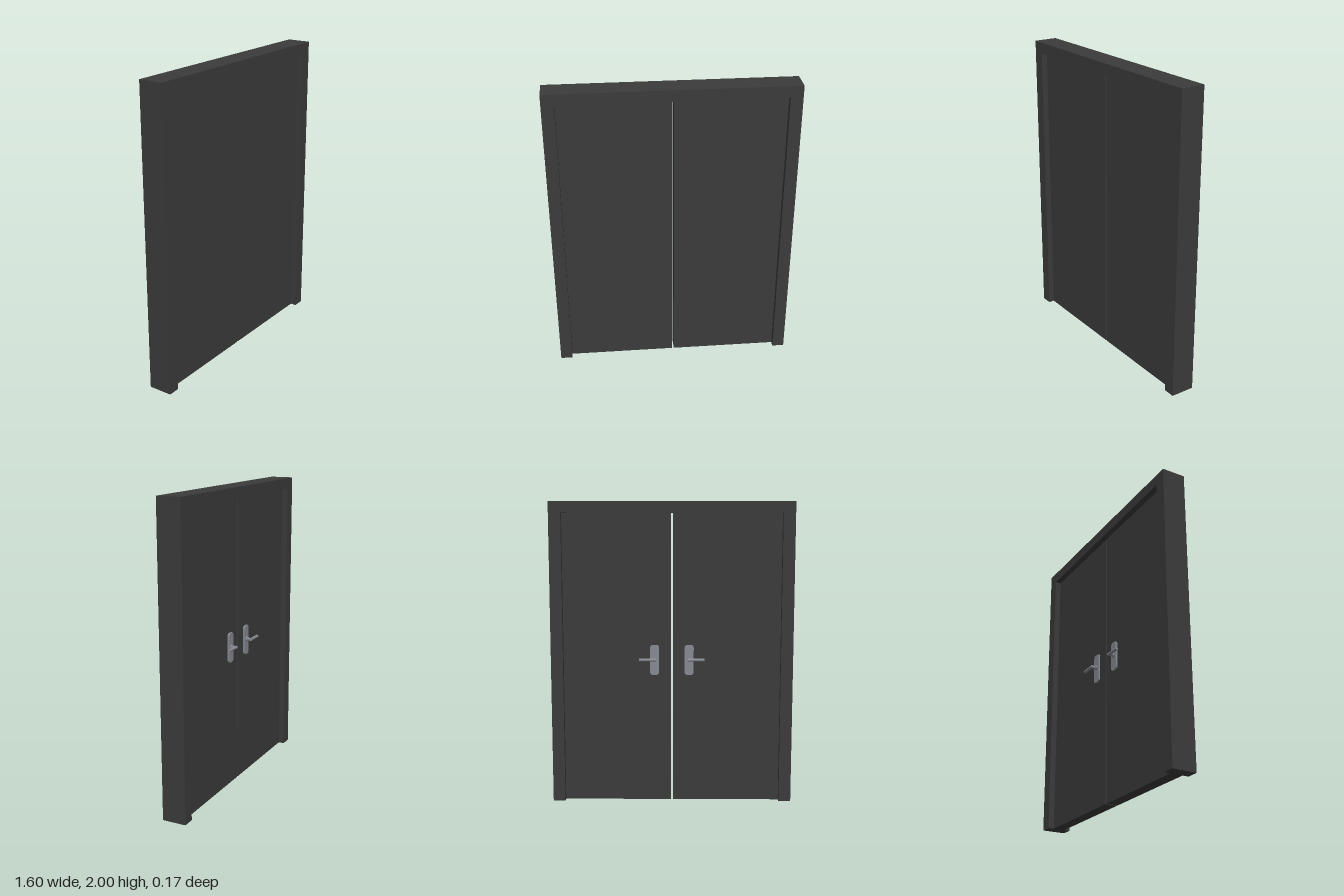
import * as THREE from 'three';

const darkMetal = new THREE.MeshStandardMaterial({ color: 0x3b3b3b });
darkMetal.name = 'dark grey metal';
const steel = new THREE.MeshStandardMaterial({ color: 0x868991 });
steel.name = 'brushed steel';

const FRAME_Z = 0.0075;                    // middle of the frame depth
const FRAME_DEPTH = 0.16, LEAF_DEPTH = 0.08;
const LEAF_BACK = FRAME_Z - LEAF_DEPTH / 2;

function add(parent, name, geometry, material, x = 0, y = 0, z = 0) {
  const mesh = new THREE.Mesh(geometry, material);
  mesh.name = name;
  mesh.position.set(x, y, z);
  parent.add(mesh);
  return mesh;
}

// Rectangle with rounded corners, centred on the origin
function roundedRect(w, h, r) {
  const s = new THREE.Shape();
  const x = w / 2 - r, y = h / 2 - r;
  s.absarc(x, y, r, 0, Math.PI / 2);
  s.absarc(-x, y, r, Math.PI / 2, Math.PI);
  s.absarc(-x, -y, r, Math.PI, Math.PI * 1.5);
  s.absarc(x, -y, r, Math.PI * 1.5, Math.PI * 2);
  s.closePath();
  return s;
}

// Door frame: two jambs and a head in one U-shaped profile
function frameGeometry() {
  const s = new THREE.Shape();
  [[-0.8, 0], [-0.72, 0], [-0.72, 1.925], [0.72, 1.925], [0.72, 0], [0.8, 0], [0.8, 2], [-0.8, 2]]
    .forEach(([x, y], i) => (i ? s.lineTo(x, y) : s.moveTo(x, y)));
  s.closePath();
  return new THREE.ExtrudeGeometry(s, { depth: FRAME_DEPTH, bevelEnabled: false });
}

// Back plate, hub, spindle and lever on the rear face of a leaf
function createHandle(side) {
  const handle = new THREE.Group();
  handle.name = side > 0 ? 'leftHandle' : 'rightHandle';
  handle.position.set(side * 0.115, 0.96, LEAF_BACK);

  const plate = new THREE.ExtrudeGeometry(roundedRect(0.06, 0.2, 0.018),
    { depth: 0.012, bevelEnabled: false, curveSegments: 6 });
  add(handle, 'backPlate', plate, steel, 0, 0, -0.012);

  const hub = add(handle, 'hub', new THREE.CylinderGeometry(0.017, 0.017, 0.012, 20), steel, 0, 0.005, -0.017);
  hub.rotation.x = Math.PI / 2;
  const spindle = add(handle, 'spindle', new THREE.CylinderGeometry(0.01, 0.01, 0.035, 16), steel, 0, 0.005, -0.0345);
  spindle.rotation.x = Math.PI / 2;
  const lever = add(handle, 'lever', new THREE.CylinderGeometry(0.01, 0.01, 0.11, 16), steel, side * 0.045, 0.005, -0.045);
  lever.rotation.z = Math.PI / 2;
  return handle;
}

export function createModel() {
  const model = new THREE.Group();
  model.name = 'doubleDoor';

  add(model, 'frame', frameGeometry(), darkMetal, 0, 0, FRAME_Z - FRAME_DEPTH / 2);

  // Two leaves with a narrow gap between them
  for (const side of [1, -1]) {
    add(model, side > 0 ? 'leftLeaf' : 'rightLeaf',
      new THREE.BoxGeometry(0.714, 1.925, LEAF_DEPTH), darkMetal, side * 0.363, 0.9625, FRAME_Z);
    model.add(createHandle(side));
  }
  return model;
}
